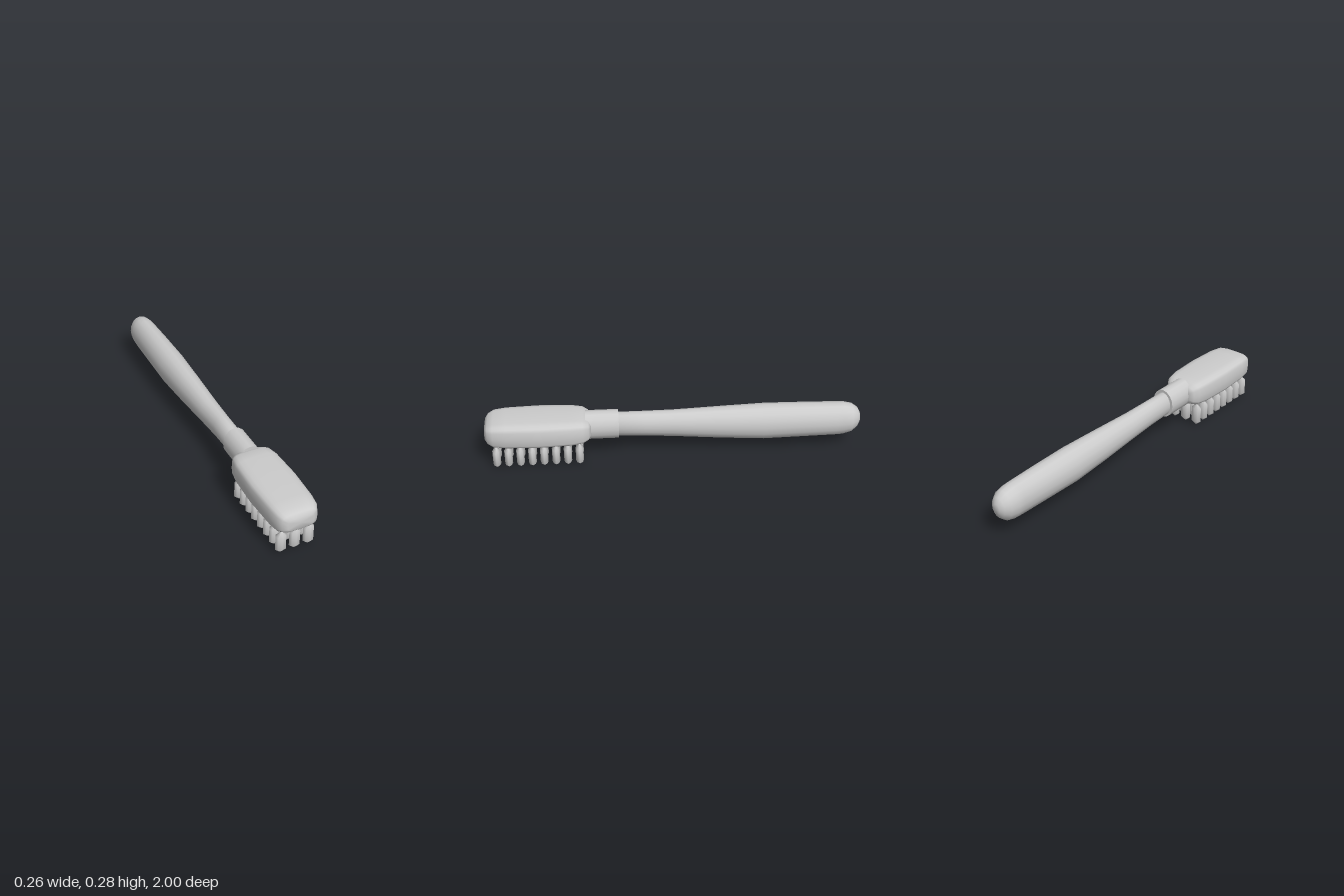
import * as THREE from 'three';

// Smooth closed skin through rings along z. Each ring: [z, half width, half height, centre y].
// power 1 gives ellipses, smaller powers give rounder-cornered boxes.
function loft(rings, sides, power = 1) {
  const pos = [], index = [];
  const bend = (v) => Math.sign(v) * Math.pow(Math.abs(v), power);
  rings.forEach(([z, rx, ry, cy]) => {
    for (let j = 0; j < sides; j++) {
      const a = (j / sides) * Math.PI * 2;
      pos.push(rx * bend(Math.cos(a)), cy + ry * bend(Math.sin(a)), z);
    }
  });
  for (let i = 0; i < rings.length - 1; i++) {
    for (let j = 0; j < sides; j++) {
      const k = (j + 1) % sides;
      const a = i * sides + j, b = i * sides + k;
      index.push(a, b, b + sides, a, b + sides, a + sides);
    }
  }
  // close both ends with a centre point
  const last = (rings.length - 1) * sides;
  const back = pos.length / 3, front = back + 1;
  pos.push(0, rings[0][3], rings[0][0]);
  pos.push(0, rings.at(-1)[3], rings.at(-1)[0]);
  for (let j = 0; j < sides; j++) {
    const k = (j + 1) % sides;
    index.push(back, k, j, front, last + j, last + k);
  }
  const g = new THREE.BufferGeometry();
  g.setAttribute('position', new THREE.Float32BufferAttribute(pos, 3));
  g.setIndex(index);
  g.computeVertexNormals();
  return g;
}

export function createModel() {
  const model = new THREE.Group();
  const grey = new THREE.MeshStandardMaterial({ color: 0xcccccc });
  grey.name = 'plain grey';

  const add = (name, geometry, parent = model) => {
    const mesh = new THREE.Mesh(geometry, grey);
    mesh.name = name;
    parent.add(mesh);
    return mesh;
  };

  // Handle: rounded butt, swollen grip, slim neck
  add('handle', loft([
    [-1.0, 0.022, 0.028, 0.18],
    [-0.985, 0.044, 0.058, 0.18],
    [-0.955, 0.063, 0.083, 0.178],
    [-0.91, 0.07, 0.095, 0.177],
    [-0.87, 0.072, 0.097, 0.177],
    [-0.7, 0.076, 0.1, 0.178],
    [-0.48, 0.079, 0.103, 0.178],
    [-0.25, 0.07, 0.092, 0.182],
    [0.0, 0.058, 0.077, 0.188],
    [0.15, 0.052, 0.072, 0.193],
    [0.33, 0.049, 0.069, 0.197],
  ], 16));

  // Collar joining handle and head
  const collar = add('collar', new THREE.CylinderGeometry(1, 1, 0.175, 16).rotateX(Math.PI / 2));
  collar.scale.set(0.065, 0.082, 1);
  collar.position.set(0, 0.199, 0.383);

  // Head: rounded block
  add('head', loft([
    [0.442, 0.07, 0.035, 0.2],
    [0.456, 0.093, 0.053, 0.2],
    [0.485, 0.11, 0.067, 0.2],
    [0.545, 0.121, 0.073, 0.2],
    [0.72, 0.128, 0.075, 0.2],
    [0.89, 0.121, 0.073, 0.2],
    [0.955, 0.112, 0.067, 0.2],
    [0.985, 0.095, 0.053, 0.2],
    [1.0, 0.07, 0.035, 0.2],
  ], 20, 0.5));

  // Bristle tufts: three columns of eight, pointed at both ends
  const bristles = new THREE.Group();
  bristles.name = 'bristles';
  model.add(bristles);
  const profile = [[0, 0], [0.03, 0.025], [0.03, 0.106], [0, 0.131]]
    .map(([x, y]) => new THREE.Vector2(x, y));
  const tuft = new THREE.LatheGeometry(profile, 8).scale(1, 1, 0.7);
  for (let row = 0; row < 8; row++) {
    for (const x of [-0.075, 0, 0.075]) {
      add('bristleTuft', tuft, bristles).position.set(x, 0, 0.508 + row * 0.0626);
    }
  }
  return model;
}
